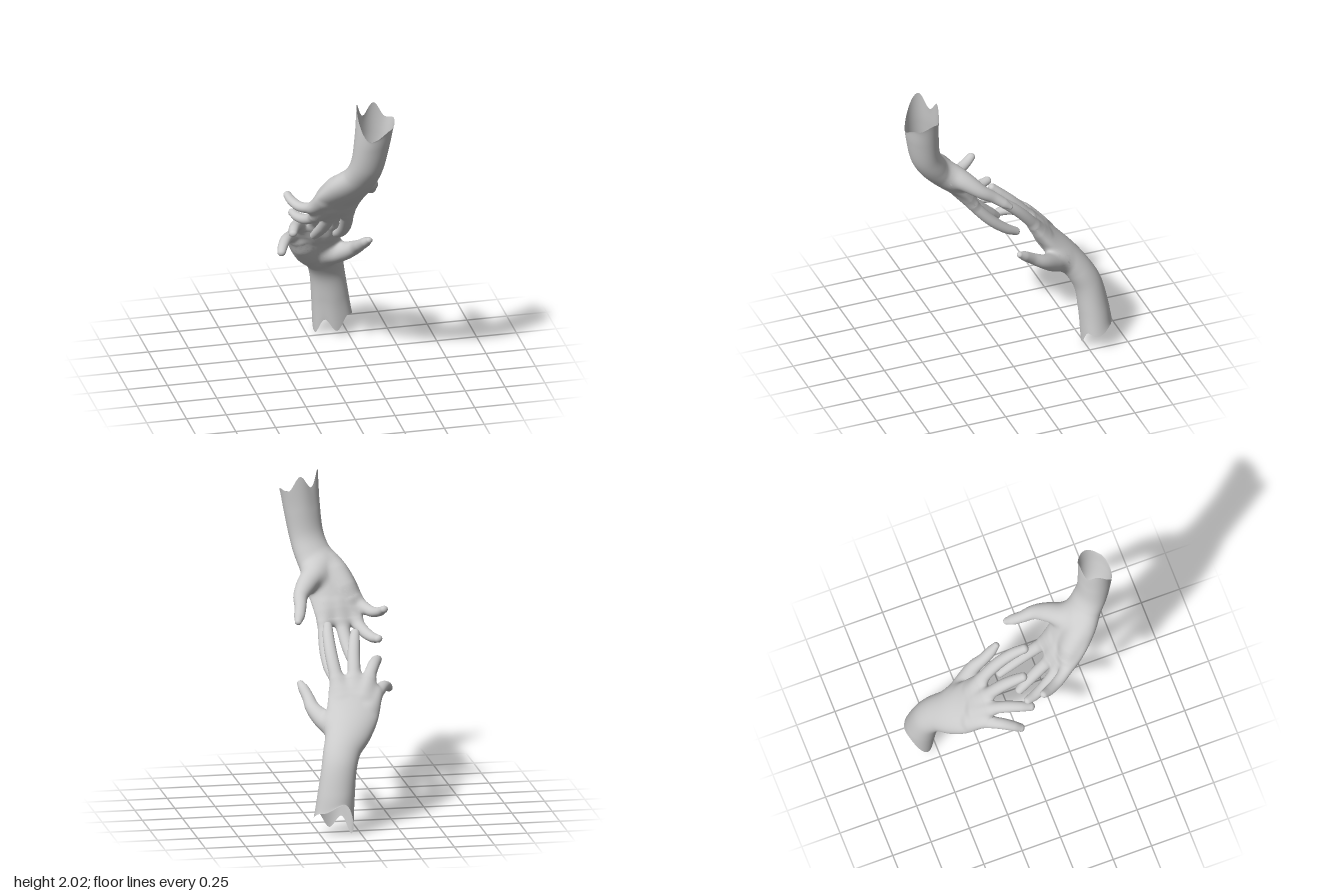
import * as THREE from 'three';

const V = (x, y, z) => new THREE.Vector3(x, y, z);
const { lerp, clamp } = THREE.MathUtils;
const skin = new THREE.MeshStandardMaterial({ color: 0xcccccc, side: THREE.DoubleSide });
const armAxis = V(1, 0, -0.25), knuckleAxis = V(1, -0.25, -0.25);

// Torn rim of the forearm: [angle in degrees, height]
const RIM = [[0, 1.905], [60, 1.86], [125, 1.8], [212, 2.0], [250, 1.905], [285, 1.98], [322, 1.89], [360, 1.905]];
function rimHeight(angle) {
  const deg = THREE.MathUtils.radToDeg(angle);
  const i = Math.max(1, RIM.findIndex((k) => k[0] >= deg));
  const [a0, h0] = RIM[i - 1], [a1, h1] = RIM[i];
  return lerp(h0, h1, THREE.MathUtils.smoothstep(deg, a0, a1));
}

// Elliptical rings along a smooth path through [x, y, z, halfWidth, halfThickness]
function makePart(name, sections, axisStart, rows, sides) {
  const path = new THREE.CatmullRomCurve3(sections.map((s) => V(s[0], s[1], s[2])));
  const radii = new THREE.CatmullRomCurve3(sections.map((s) => V(s[3], s[4], 0)));
  const rings = [];
  for (let i = 0; i <= rows; i++) {
    const t = i / rows, along = path.getTangent(t), r = radii.getPoint(t);
    const across = axisStart.clone().lerp(knuckleAxis, t);
    across.addScaledVector(along, -across.dot(along)).normalize();
    rings.push({ centre: path.getPoint(t), along, across, normal: along.clone().cross(across), rx: r.x, ry: r.y });
  }
  return { name, rings, sides };
}

// Approximate signed distance from a point to one part
const q = V(0, 0, 0);
function partDistance(p, rings) {
  let near = 0, best = Infinity;
  for (let i = 0; i < rings.length; i++) {
    const d = p.distanceToSquared(rings[i].centre);
    if (d < best) { best = d; near = i; }
  }
  const ring = rings[near];
  q.copy(p).sub(ring.centre);
  let axial = q.dot(ring.along), { rx, ry } = ring;
  const next = rings[near + (axial < 0 ? -1 : 1)];
  if (next) {
    const f = Math.min(1, Math.abs(axial) / next.centre.distanceTo(ring.centre));
    rx = lerp(rx, next.rx, f);
    ry = lerp(ry, next.ry, f);
    axial = 0;
  }
  const u = q.dot(ring.across) / rx, v = q.dot(ring.normal) / ry, w = axial / ry;
  const k0 = Math.hypot(u, v, w);
  const k1 = Math.hypot(u / rx, v / ry, w / ry);
  return k1 > 0 ? (k0 * (k0 - 1)) / k1 : -ry;
}

// All parts softly fused, so that webs and creases form between them
const SOFT = 0.04;
function fusedDistance(p, parts) {
  return parts.reduce((a, part) => {
    const b = partDistance(p, part.rings);
    const h = Math.max(SOFT - Math.abs(a - b), 0) / SOFT;
    return Math.min(a, b) - (h * h * SOFT) / 4;
  }, 10);
}
function fusedGradient(p, parts, d) {
  const e = 0.002;
  return V(
    fusedDistance(V(p.x + e, p.y, p.z), parts) - d,
    fusedDistance(V(p.x, p.y + e, p.z), parts) - d,
    fusedDistance(V(p.x, p.y, p.z + e), parts) - d,
  ).normalize();
}

// Skin over the rings of one part, open at the start, round at the end,
// with the vertices settled on the fused surface
function skinPart({ name, rings, sides }, parts) {
  const capRows = 7, rows = rings.length - 1, total = rows + capRows;
  const positions = [], index = [], settled = [];
  for (let i = 0; i <= total; i++) {
    const { centre, along, across, normal, rx, ry } = rings[Math.min(i, rows)];
    const cap = (Math.max(0, i - rows) / capRows) * Math.PI * 0.499;
    for (let j = 0; j < sides; j++) {
      const a = (j / sides) * Math.PI * 2;
      const p = centre.clone()
        .addScaledVector(along, ry * Math.sin(cap))
        .addScaledVector(across, Math.cos(a) * rx * Math.cos(cap))
        .addScaledVector(normal, Math.sin(a) * ry * Math.cos(cap));
      if (p.y > 1.6) {
        p.y += (rimHeight(a) - 2) * ((p.y - 1.6) / 0.4) ** 2;
      } else if (p.y < 1.55) {
        // Vertices deep inside a neighbour stay hidden there
        let d = fusedDistance(p, parts), n;
        if (d > -0.02) {
          for (let step = 0; step < 3; step++) {
            n = fusedGradient(p, parts, d);
            p.addScaledVector(n, clamp(-d, -0.01, 0.01));
            d = fusedDistance(p, parts);
          }
          settled.push([i * sides + j, n]);
        }
      }
      positions.push(p.x, p.y, p.z);
      if (i < total) {
        const k = (j + 1) % sides, b = i * sides, c = b + sides;
        index.push(b + j, b + k, c + j, b + k, c + k, c + j);
      }
    }
  }
  const geometry = new THREE.BufferGeometry();
  geometry.setAttribute('position', new THREE.Float32BufferAttribute(positions, 3));
  geometry.setIndex(index);
  geometry.computeVertexNormals();
  // Shared normals make the joints between parts seamless
  for (const [i, n] of settled) geometry.attributes.normal.setXYZ(i, n.x, n.y, n.z);
  const mesh = new THREE.Mesh(geometry, skin);
  mesh.name = name;
  return mesh;
}

function createHand() {
  // Forearm, wrist and palm
  const parts = [makePart('forearmAndPalm', [
    [0.17, 2.0, 0.572, 0.122, 0.095],
    [0.152, 1.78, 0.562, 0.114, 0.094],
    [0.128, 1.6, 0.535, 0.108, 0.088],
    [0.1, 1.5, 0.487, 0.114, 0.084],
    [0.045, 1.4, 0.41, 0.143, 0.083],
    [0.0, 1.29, 0.325, 0.16, 0.064],
    [-0.015, 1.19, 0.25, 0.15, 0.048],
    [-0.018, 1.14, 0.215, 0.132, 0.03],
  ], armAxis, 80, 72)];

  // Fingers: relative thickness, then the joints from root to tip
  const fingers = {
    littleFinger: [0.92, [-0.1, 1.28, 0.34], [-0.16, 1.215, 0.262], [-0.212, 1.19, 0.18], [-0.248, 1.205, 0.115], [-0.266, 1.228, 0.075]],
    ringFinger: [0.95, [-0.065, 1.22, 0.3], [-0.115, 1.13, 0.215], [-0.16, 1.075, 0.125], [-0.195, 1.06, 0.045], [-0.214, 1.066, -0.01]],
    middleFinger: [1, [-0.01, 1.22, 0.27], [-0.03, 1.1, 0.19], [-0.045, 1.0, 0.1], [-0.062, 0.935, 0.03], [-0.075, 0.895, -0.012]],
    indexFinger: [1, [0.06, 1.22, 0.265], [0.083, 1.1, 0.185], [0.095, 0.985, 0.085], [0.092, 0.9, -0.015], [0.082, 0.86, -0.08]],
  };
  const widths = [0.042, 0.04, 0.038, 0.034, 0.028];
  for (const [name, [scale, ...joints]] of Object.entries(fingers)) {
    const sections = joints.map((j, i) => [...j, widths[i] * scale, widths[i] * scale * 0.88]);
    parts.push(makePart(name, sections, knuckleAxis, 32, 24));
  }

  // Thumb with its fleshy base running into the palm
  parts.push(makePart('thumb', [
    [0.07, 1.44, 0.41, 0.055, 0.05],
    [0.12, 1.395, 0.345, 0.074, 0.066],
    [0.178, 1.355, 0.275, 0.062, 0.056],
    [0.228, 1.302, 0.2, 0.045, 0.042],
    [0.243, 1.253, 0.125, 0.036, 0.034],
    [0.26, 1.212, 0.07, 0.033, 0.03],
    [0.274, 1.185, 0.033, 0.021, 0.019],
  ], knuckleAxis, 40, 28));

  // Soft pad on the little-finger side of the palm
  parts.push(makePart('palmHeelPad', [
    [0.0, 1.45, 0.43, 0.04, 0.03],
    [-0.03, 1.4, 0.375, 0.062, 0.05],
    [-0.07, 1.325, 0.315, 0.06, 0.048],
    [-0.1, 1.26, 0.28, 0.04, 0.03],
  ], knuckleAxis, 24, 28));

  const hand = new THREE.Group();
  hand.name = 'upperHand';
  hand.add(...parts.map((part) => skinPart(part, parts)));
  return hand;
}

export function createModel() {
  const model = new THREE.Group();
  model.name = 'reachingHands';
  const upper = createHand();
  // The lower hand is the upper one turned half round the x axis
  const lower = upper.clone();
  lower.name = 'lowerHand';
  lower.rotation.x = Math.PI;
  lower.position.y = 2;
  model.add(upper, lower);
  return model;
}
